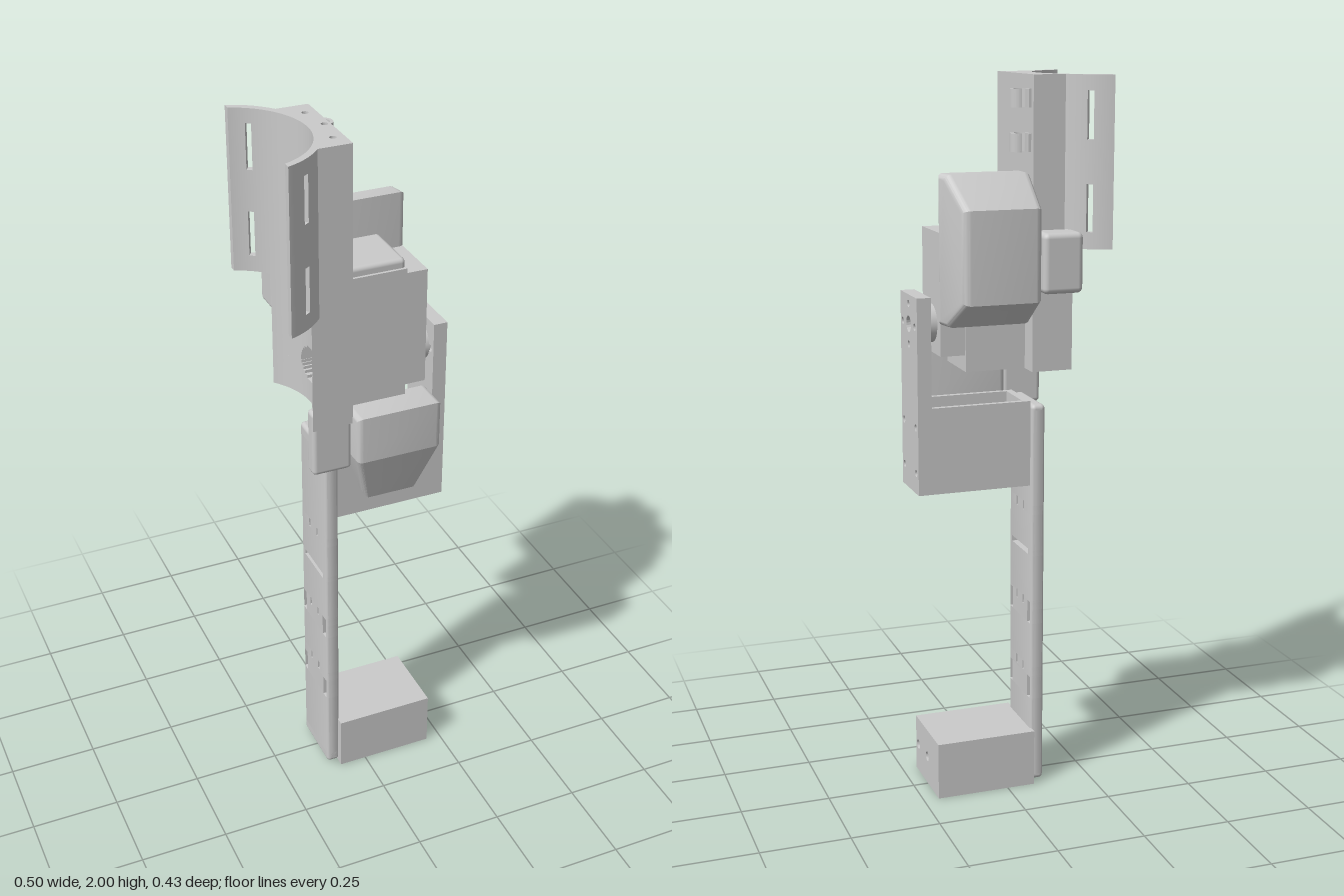
import * as THREE from 'three';
import { RoundedBoxGeometry } from 'three/addons/geometries/RoundedBoxGeometry.js';
import { toCreasedNormals } from 'three/addons/utils/BufferGeometryUtils.js';

const rad = Math.PI / 180;
const grey = new THREE.MeshStandardMaterial({ color: 0xcacaca });
grey.name = 'light grey';

// Cradle arc, seen from above
const CX = -0.323, R_IN = 0.208, R_OUT = 0.227;

export function createModel() {
  const root = new THREE.Group();
  root.name = 'legBrace';

  const add = (name, geometry, parent = root) => {
    const mesh = new THREE.Mesh(geometry, grey);
    mesh.name = name;
    parent.add(mesh);
    return mesh;
  };
  const group = (name) => {
    const g = new THREE.Group();
    g.name = name;
    root.add(g);
    return g;
  };
  const box = (name, x0, x1, y0, y1, z0, z1, r = 0, parent = root) => {
    const s = [x1 - x0, y1 - y0, z1 - z0];
    const geo = r ? new RoundedBoxGeometry(...s, 3, r) : new THREE.BoxGeometry(...s);
    add(name, geo, parent).position.set((x0 + x1) / 2, (y0 + y1) / 2, (z0 + z1) / 2);
  };
  const poly = (points) => new THREE.Shape(points.map((p) => new THREE.Vector2(...p)));
  const circle = (x, y, r) => new THREE.Path().absarc(x, y, r, 0, Math.PI * 2, true);

  // Shape given as (x, -z), raised from y0 to y1
  const extrudeY = (shape, y0, y1) =>
    new THREE.ExtrudeGeometry(shape, { depth: y1 - y0, bevelEnabled: false, curveSegments: 16 })
      .rotateX(-Math.PI / 2).translate(0, y0, 0);
  // Shape given as (-z, y), extended from x0 to x1, with rounded edges of radius r
  const extrudeX = (shape, x0, x1, r = 0) =>
    new THREE.ExtrudeGeometry(shape, {
      depth: x1 - x0 - 2 * r, bevelEnabled: r > 0, bevelSize: r, bevelThickness: r,
      bevelOffset: -r, bevelSegments: 6, curveSegments: 10,
    }).rotateY(Math.PI / 2).translate(x0 + r, 0, 0);
  const rect = (z0, z1, y0, y1) => poly([[-z1, y0], [-z0, y0], [-z0, y1], [-z1, y1]]);

  // Concave spine, in slices from z0 to z1
  const spine = group('cradleSpine');
  const section = (z0, z1) => {
    const points = [[-0.055, -z1], [-0.055, -z0]];
    for (let i = 0; i <= 24; i++) {
      const z = z0 + (z1 - z0) * i / 24;
      points.push([Math.max(-0.168, CX + Math.sqrt(R_IN * R_IN - z * z)), -z]);
    }
    return poly(points);
  };
  const top = section(-0.139, 0.143);
  [[-0.085, -0.086], [-0.07, 0.002], [-0.085, 0.09]].forEach(([x, z]) => top.holes.push(circle(x, -z, 0.009)));
  add('upperSpine', extrudeY(top, 1.55, 2), spine);
  add('middleSpine', extrudeY(section(-0.139, 0.143), 1.385, 1.55), spine);
  add('lowerSpine', extrudeY(section(-0.139, 0.143), 1.22, 1.285), spine);
  // Round opening through the spine
  const N = 12;
  for (let i = 0; i < N; i++) {
    const y0 = 1.285 + 0.1 * i / N, y1 = 1.285 + 0.1 * (i + 1) / N;
    const w = Math.sqrt(0.0025 - ((y0 + y1) / 2 - 1.335) ** 2);
    add('openingSide', extrudeY(section(-0.139, -w), y0, y1), spine);
    add('openingSide', extrudeY(section(w, 0.143), y0, y1), spine);
  }

  // Curved wings, each with two strap slots; the free edge is cut flat
  const arcPiece = (side, start, endIn, endOut) => {
    const s = new THREE.Shape();
    s.absarc(CX, 0, R_OUT, side * start * rad, side * endOut * rad, side < 0);
    s.absarc(CX, 0, R_IN, side * endIn * rad, side * start * rad, side > 0);
    return s;
  };
  for (const side of [1, -1]) {
    const wing = group(side > 0 ? 'backWing' : 'frontWing');
    const piece = (y0, y1, a, b, c = b) =>
      add('wingPanel', extrudeY(arcPiece(side, a, b, c), y0, y1), wing);
    piece(1.55, 2, 36, 53.3);
    piece(1.55, 2, 57.7, 69.4, 71.2);
    [[1.55, 1.595], [1.72, 1.835], [1.96, 2]].forEach(([y0, y1]) => piece(y0, y1, 53.3, 57.7));
  }

  // Blocks on the edges of the spine
  box('backSpineBlock', -0.168, -0.057, 1.44, 1.6, -0.22, -0.13, 0.015);
  box('frontSpineTab', -0.168, -0.057, 1.08, 1.27, 0.1, 0.143, 0.012);

  // Cable clips
  for (const y of [1.802, 1.916]) {
    const clip = new THREE.Shape();
    clip.absarc(-0.03, 0.1, 0.025, 150 * rad, 445 * rad, false);
    clip.absarc(-0.03, 0.1, 0.016, 445 * rad, 150 * rad, true);
    add('cableClip', extrudeY(clip, y, y + 0.048));
    box('clipStem', -0.058, -0.048, y, y + 0.048, -0.122, -0.085);
  }

  // Rounded pack at the back, narrower on its outer face
  const pack = extrudeX(poly([[0.069, 1.35], [0.12, 1.35], [0.213, 1.42], [0.213, 1.665], [0.115, 1.75], [0.069, 1.75]]),
    -0.056, 0.189, 0.018);
  const p = pack.attributes.position;
  for (let i = 0; i < p.count; i++) {
    if (p.getX(i) > 0.06) p.setX(i, p.getX(i) - 0.22 * Math.max(0, -p.getZ(i) - 0.07));
  }
  add('backPack', toCreasedNormals(pack, 0.4));

  // Rounded pod at the front, tapering downward
  const pod = extrudeX(poly([[-0.183, 1.115], [-0.13, 0.963], [-0.083, 0.963], [-0.083, 1.115], [-0.083, 1.25], [-0.183, 1.25]]),
    -0.056, 0.186, 0.015);
  const q = pod.attributes.position;
  for (let i = 0; i < q.count; i++) {
    const t = Math.max(0, (1.115 - q.getY(i)) / 0.152);
    q.setX(i, 0.064 + (q.getX(i) - 0.064) * (1 - 0.38 * t));
  }
  add('frontPod', toCreasedNormals(pod, 0.28));

  // Drive housing
  box('housingBody', -0.055, 0.113, 1.22, 1.62, -0.08, 0.105);
  box('housingCap', -0.055, 0.113, 1.24, 1.645, -0.075, 0.097, 0.012);
  box('motorBox', 0.11, 0.182, 1.265, 1.595, -0.075, 0.083);
  for (const z of [-0.045, 0.057]) {
    add('housingBolt', new THREE.CylinderGeometry(0.011, 0.011, 0.01, 16).rotateZ(Math.PI / 2))
      .position.set(0.11, 1.615, z);
  }
  add('jointDisc', new THREE.CylinderGeometry(0.052, 0.052, 0.04, 32).rotateZ(Math.PI / 2))
    .position.set(0.19, 1.345, 0.003);

  // Joint bracket: drilled arm and hollow base
  const bracket = group('jointBracket');
  const arm = rect(-0.073, 0.08, 0.885, 1.425);
  arm.holes.push(circle(-0.005, 1.345, 0.022));
  [[0.06, 1.345], [-0.05, 1.345], [0.005, 1.4], [0.005, 1.29], [0.06, 1.07], [-0.05, 1.07], [0.06, 0.943], [-0.05, 0.943]]
    .forEach(([z, y]) => arm.holes.push(circle(-z, y, 0.01)));
  add('bracketArm', extrudeX(arm, 0.207, 0.246), bracket);
  box('bracketSide', -0.075, 0.207, 0.885, 1.125, 0.065, 0.08, 0, bracket);
  box('bracketSide', -0.075, 0.207, 0.885, 1.125, -0.073, -0.058, 0, bracket);
  box('bracketInnerWall', -0.075, -0.055, 0.885, 1.125, -0.058, 0.065, 0, bracket);
  box('bracketFloor', -0.055, 0.207, 0.91, 0.93, -0.058, 0.065, 0, bracket);

  // Shin bar: a rounded section stacked in bands, interrupted by slots
  const bar = group('shinBar');
  const Z0 = -0.085, Z1 = 0.095, R = 0.012;
  const barSection = (z0, z1) => {
    const zs = [z0, z1];
    for (let i = 0; i <= 6; i++) {
      const d = R * (1 - Math.cos(i * 15 * rad));
      zs.push(Z0 + d, Z1 - d);
    }
    const kept = zs.filter((z) => z >= z0 && z <= z1).sort((a, b) => a - b);
    const half = (z) => {
      const d = Math.max(0, R - Math.min(z - Z0, Z1 - z));
      return 0.02 - R + Math.sqrt(Math.max(0, R * R - d * d));
    };
    return poly([
      ...kept.map((z) => [-0.095 + half(z), -z]),
      ...kept.reverse().map((z) => [-0.095 - half(z), -z]),
    ]);
  };
  const slots = [[0.682, 0.698, -0.06, 0.072]]; // y0, y1, z0, z1
  for (const y of [0.815, 0.537, 0.337]) {
    for (const z of [-0.021, 0.031]) slots.push([y - 0.013, y + 0.013, z - 0.005, z + 0.005]);
  }
  for (const y of [0.513, 0.287]) {
    for (const z of [-0.066, 0.077]) slots.push([y - 0.032, y + 0.032, z - 0.011, z + 0.011]);
  }
  const levels = [0.02, 1.1, ...slots.flatMap((s) => s.slice(0, 2))].sort((a, b) => a - b);
  for (let i = 0; i + 1 < levels.length; i++) {
    const y0 = levels[i], y1 = levels[i + 1], mid = (y0 + y1) / 2;
    if (y1 - y0 < 1e-6) continue;
    let z = Z0;
    for (const [, , a, b] of slots.filter((s) => s[0] < mid && s[1] > mid).sort((s, t) => s[2] - t[2])) {
      add('barBand', toCreasedNormals(extrudeY(barSection(z, a), y0, y1), 0.5), bar);
      z = b;
    }
    add('barBand', toCreasedNormals(extrudeY(barSection(z, Z1), y0, y1), 0.5), bar);
  }
  box('barBottomEnd', -0.115, -0.075, 0.005, 0.05, Z0, Z1, R, bar);
  box('barTopEnd', -0.115, -0.075, 1.07, 1.115, Z0, Z1, R, bar);

  // Foot block with two drilled holes
  box('footBlock', -0.08, 0.15, 0, 0.163, -0.104, 0.115);
  const foot = rect(-0.104, 0.115, 0, 0.163);
  for (const z of [0.005, 0.093]) foot.holes.push(circle(-z, 0.082, 0.014));
  add('footFace', extrudeX(foot, 0.15, 0.207));

  return root;
}
